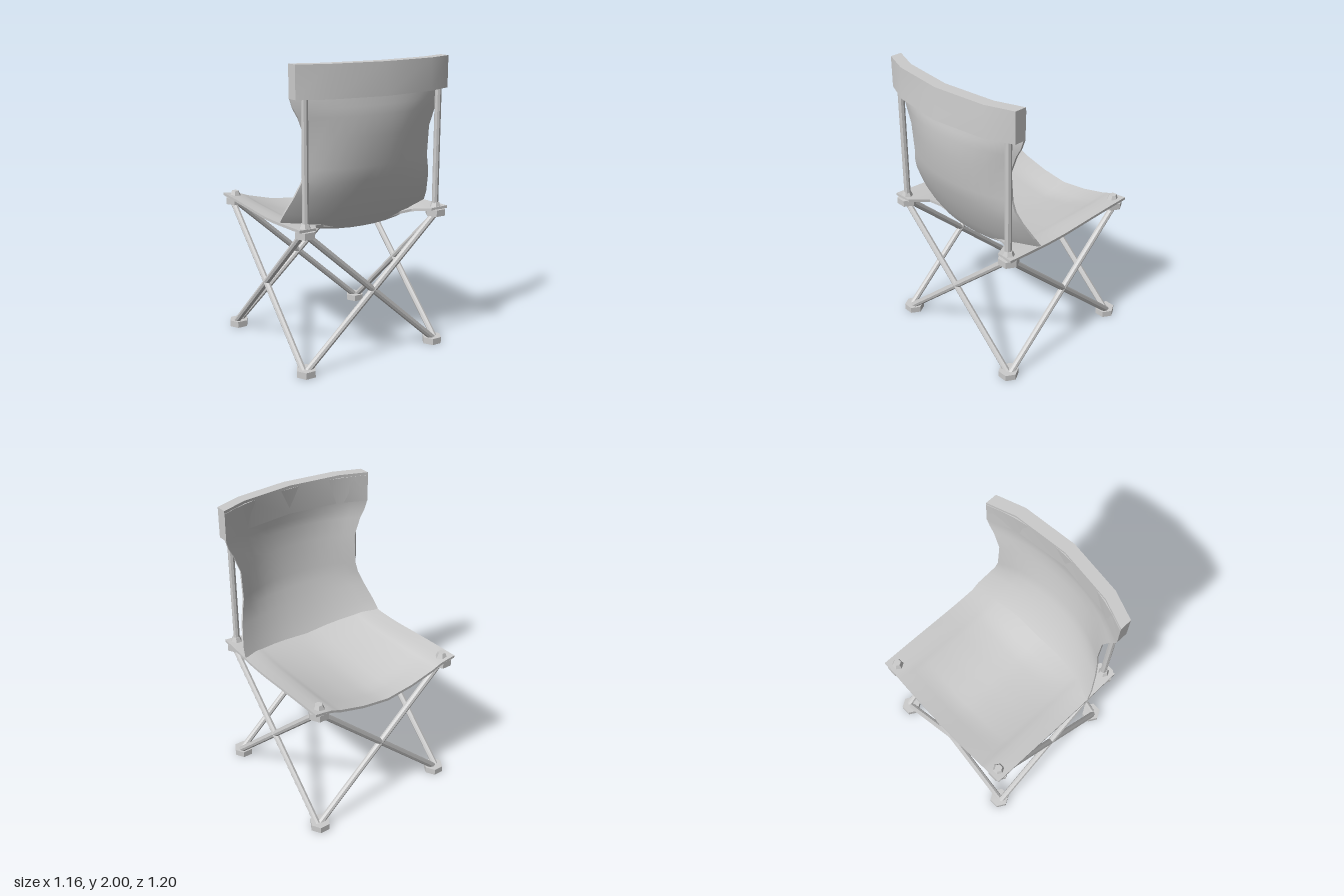
import * as THREE from 'three';

const fabric = new THREE.MeshStandardMaterial({ color: 0xcccccc, side: THREE.DoubleSide });
const metal = new THREE.MeshStandardMaterial({ color: 0xcccccc, flatShading: true });

// linear lookup of column k in rows sorted by their first number
function lookup(rows, a, k = 1) {
  if (a <= rows[0][0]) return rows[0][k];
  for (let i = 1; i < rows.length; i++) {
    const p = rows[i - 1], q = rows[i];
    if (a <= q[0]) return THREE.MathUtils.lerp(p[k], q[k], (a - p[0]) / (q[0] - p[0]));
  }
  return rows[rows.length - 1][k];
}

// closed sheet: outer skin f(u, v), inner skin moved by offset(u, v), and a rim
function sheet(name, us, vs, f, offset) {
  const pos = [], index = [], nu = us.length, nv = vs.length;
  const outer = [], inner = [];
  for (const v of vs) for (const u of us) {
    const p = f(u, v);
    outer.push(p);
    inner.push(p.clone().add(offset(u, v)));
  }
  for (const p of [...outer, ...inner]) pos.push(p.x, p.y, p.z);
  for (let j = 0; j < nv - 1; j++) for (let i = 0; i < nu - 1; i++) {
    const a = j * nu + i, b = a + 1, c = b + nu, d = a + nu, n = nu * nv;
    index.push(a, b, c, a, c, d, n + a, n + c, n + b, n + a, n + d, n + c);
  }
  // boundary walked counter-clockwise, with its own vertices for a crisp edge
  const ring = [];
  for (let i = 0; i < nu - 1; i++) ring.push(i);
  for (let j = 0; j < nv - 1; j++) ring.push(j * nu + nu - 1);
  for (let i = nu - 1; i > 0; i--) ring.push((nv - 1) * nu + i);
  for (let j = nv - 1; j > 0; j--) ring.push(j * nu);
  ring.forEach((a, i) => {
    const b = ring[(i + 1) % ring.length], s = pos.length / 3;
    for (const p of [outer[a], inner[a], inner[b], outer[b]]) pos.push(p.x, p.y, p.z);
    index.push(s, s + 1, s + 2, s, s + 2, s + 3);
  });
  const geo = new THREE.BufferGeometry();
  geo.setAttribute('position', new THREE.Float32BufferAttribute(pos, 3));
  geo.setIndex(index);
  geo.computeVertexNormals();
  const mesh = new THREE.Mesh(geo, fabric);
  mesh.name = name;
  return mesh;
}

function rod(name, a, b, radius = 0.022) {
  const from = new THREE.Vector3(...a), to = new THREE.Vector3(...b);
  const dir = to.clone().sub(from);
  const mesh = new THREE.Mesh(new THREE.CylinderGeometry(radius, radius, dir.length(), 8), metal);
  mesh.position.copy(from).add(to).multiplyScalar(0.5);
  mesh.quaternion.setFromUnitVectors(new THREE.Vector3(0, 1, 0), dir.normalize());
  mesh.name = name;
  return mesh;
}

// hexagonal block with corners pointing along x
function hex(name, x, y0, y1, z, rTop, rBottom = rTop) {
  const geo = new THREE.CylinderGeometry(rTop, rBottom, y1 - y0, 6).rotateY(Math.PI / 6);
  const mesh = new THREE.Mesh(geo, metal);
  mesh.position.set(x, (y0 + y1) / 2, z);
  mesh.name = name;
  return mesh;
}

const steps = n => Array.from({ length: n + 1 }, (_, i) => i / n);
const HX = 0.51, Z_BACK = 0.455, Z_FRONT = -0.54;

// seat: z rows of [z, edge height, centre height]
const seatRows = [[-0.6, 1.0, 0.885], [-0.42, 0.995, 0.853], [-0.2, 0.985, 0.86],
  [0, 0.975, 0.872], [0.14, 0.975, 0.885], [0.33, 0.985, 0.925], [0.5, 0.995, 0.96]];
const seatSag = [[0, 1], [0.35, 0.78], [0.67, 0.38], [0.8, 0.13], [1, 0]];
const seatRear = [[0, 0.33], [0.3, 0.33], [0.38, 0.36], [0.45, 0.49], [0.575, 0.5]];

// backrest: rows of [v, edge y, centre y, half width, edge z, centre z]
const backRows = [[0, 0.985, 0.9, 0.573, 0.245, 0.335], [0.08, 1.05, 1.0, 0.56, 0.285, 0.395],
  [0.18, 1.17, 1.14, 0.52, 0.35, 0.45], [0.28, 1.26, 1.25, 0.49, 0.385, 0.49],
  [0.36, 1.34, 1.34, 0.472, 0.395, 0.512], [0.55, 1.54, 1.54, 0.472, 0.41, 0.542],
  [0.68, 1.67, 1.67, 0.522, 0.41, 0.545], [0.75, 1.73, 1.73, 0.555, 0.405, 0.54],
  [0.81, 1.79, 1.79, 0.573, 0.4, 0.53], [1, 1.98, 1.98, 0.573, 0.395, 0.505]];

export function createModel() {
  const model = new THREE.Group();

  // sagging seat with corner tabs at the rear
  const seatU = [-0.573, -0.51, -0.45, -0.415, -0.38, -0.3, -0.2, -0.1, 0, 0.1, 0.2, 0.3, 0.38, 0.415, 0.45, 0.51, 0.573];
  model.add(sheet('seat', seatU, steps(16), (x, v) => {
    const z = THREE.MathUtils.lerp(lookup(seatRear, Math.abs(x)), -0.6, v);
    const edge = lookup(seatRows, z, 1), centre = lookup(seatRows, z, 2);
    const y = THREE.MathUtils.lerp(edge, centre, lookup(seatSag, Math.abs(x) / 0.573));
    return new THREE.Vector3(x, y, z);
  }, () => new THREE.Vector3(0, -0.018, 0)));

  // curved backrest with a narrowed waist
  const backV = backRows.map(r => r[0]);
  model.add(sheet('backrest', steps(12).map(t => t * 2 - 1), backV, (t, v) => {
    const [, yE, yC, w, zE, zC] = backRows[backV.indexOf(v)];
    const bulge = 1 - Math.abs(t) ** 2.2;
    return new THREE.Vector3(t * w, yE + (yC - yE) * bulge, zE + (zC - zE) * bulge);
  }, () => new THREE.Vector3(0, 0, -0.015)));

  // thick sleeve along the top of the backrest
  const bow = x => lookup([[0, 1], [0.38, 0.63], [0.573, 0]], Math.abs(x));
  model.add(sheet('topSleeve', [-0.573, -0.38, 0, 0.38, 0.573], [0, 1],
    (x, v) => new THREE.Vector3(x, 1.79 + 0.21 * v, 0.465 + (0.13 - 0.018 * v) * bow(x)),
    (x, v) => new THREE.Vector3(0, 0, -0.082)));

  for (const s of [-1, 1]) {
    // feet, top hubs and studs at each corner
    for (const z of [Z_BACK, Z_FRONT]) {
      model.add(hex('foot', s * HX, 0, 0.045, z, 0.07));
      model.add(hex('hub', s * HX, 0.93, 0.975, z, 0.07));
      model.add(hex('stud', s * HX, 0.975, 1.02, z, 0.026, 0.045));
    }
    // back post
    model.add(rod('backPost', [s * 0.505, 0.97, Z_BACK], [s * 0.505, 1.93, Z_BACK]));
    // crossed rods on the sides
    model.add(rod('sideRod', [s * 0.53, 0.03, Z_BACK], [s * 0.53, 0.95, Z_FRONT]));
    model.add(rod('sideRod', [s * 0.53, 0.95, Z_BACK], [s * 0.53, 0.03, Z_FRONT]));
    // crossed rods across the front and rear
    for (const z of [0.465, -0.54])
      model.add(rod('crossRod', [s * 0.51, 0.03, z], [-s * 0.51, 0.95, z]));
  }
  return model;
}
